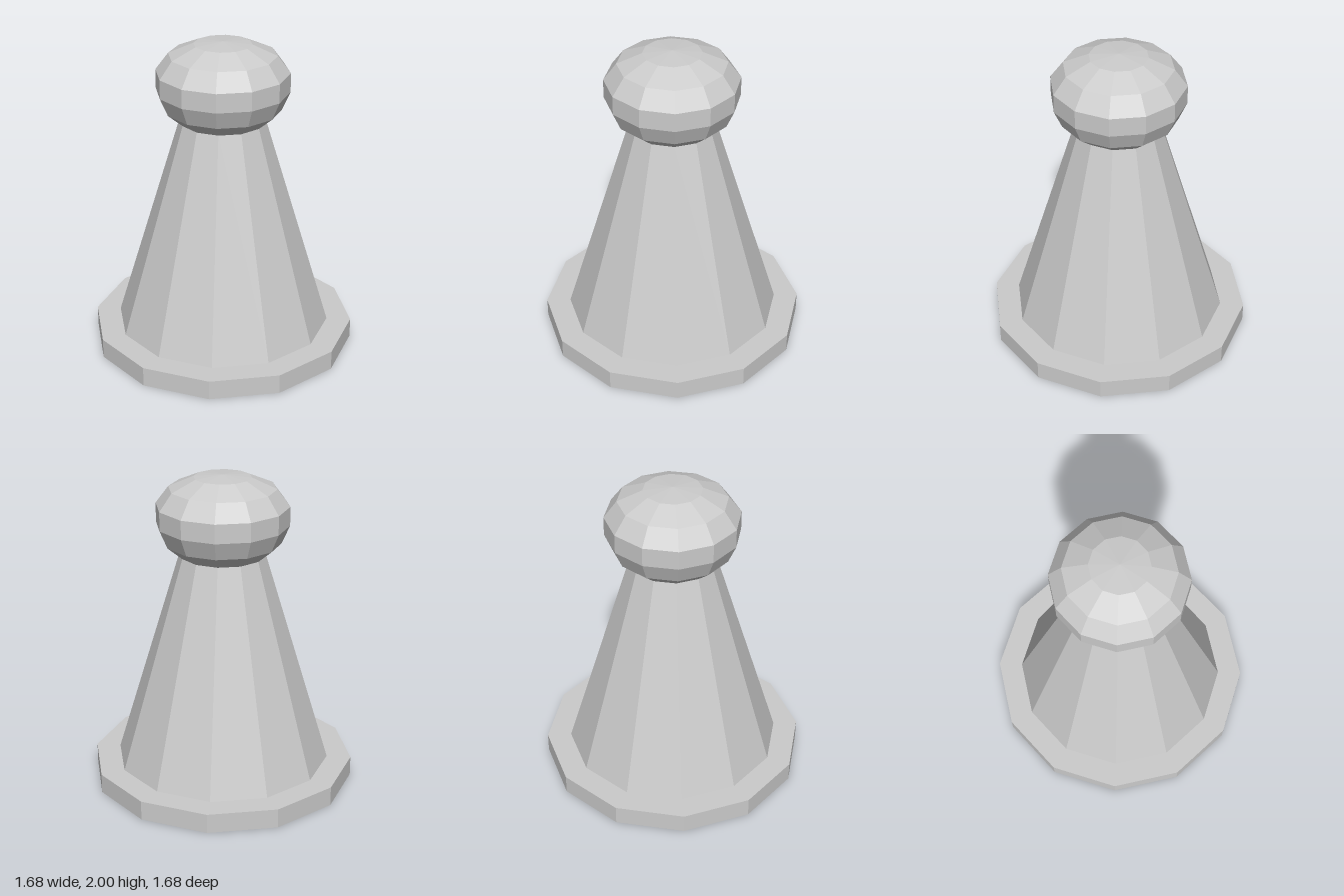
import * as THREE from 'three';

const SIDES = 12;
const material = new THREE.MeshStandardMaterial({ color: 0xcccccc, flatShading: true });

// Faceted solid of revolution from [radius, height] pairs, bottom to top
function turned(name, profile) {
  const points = profile.map(([r, y]) => new THREE.Vector2(r, y));
  const mesh = new THREE.Mesh(new THREE.LatheGeometry(points, SIDES), material);
  mesh.name = name;
  return mesh;
}

export function createModel() {
  const group = new THREE.Group();
  group.name = 'pawn';

  // Flat twelve-sided foot
  group.add(turned('base', [[0, 0], [0.84, 0], [0.84, 0.125], [0, 0.125]]));

  // Tapered body
  group.add(turned('body', [[0.685, 0.125], [0.27, 1.495]]));

  // Squashed ball on top, cut flat where it meets the body
  group.add(turned('head', [
    [0, 1.495], [0.27, 1.495], [0.365, 1.575], [0.415, 1.69],
    [0.415, 1.81], [0.335, 1.917], [0.18, 1.985], [0, 2],
  ]));

  return group;
}
